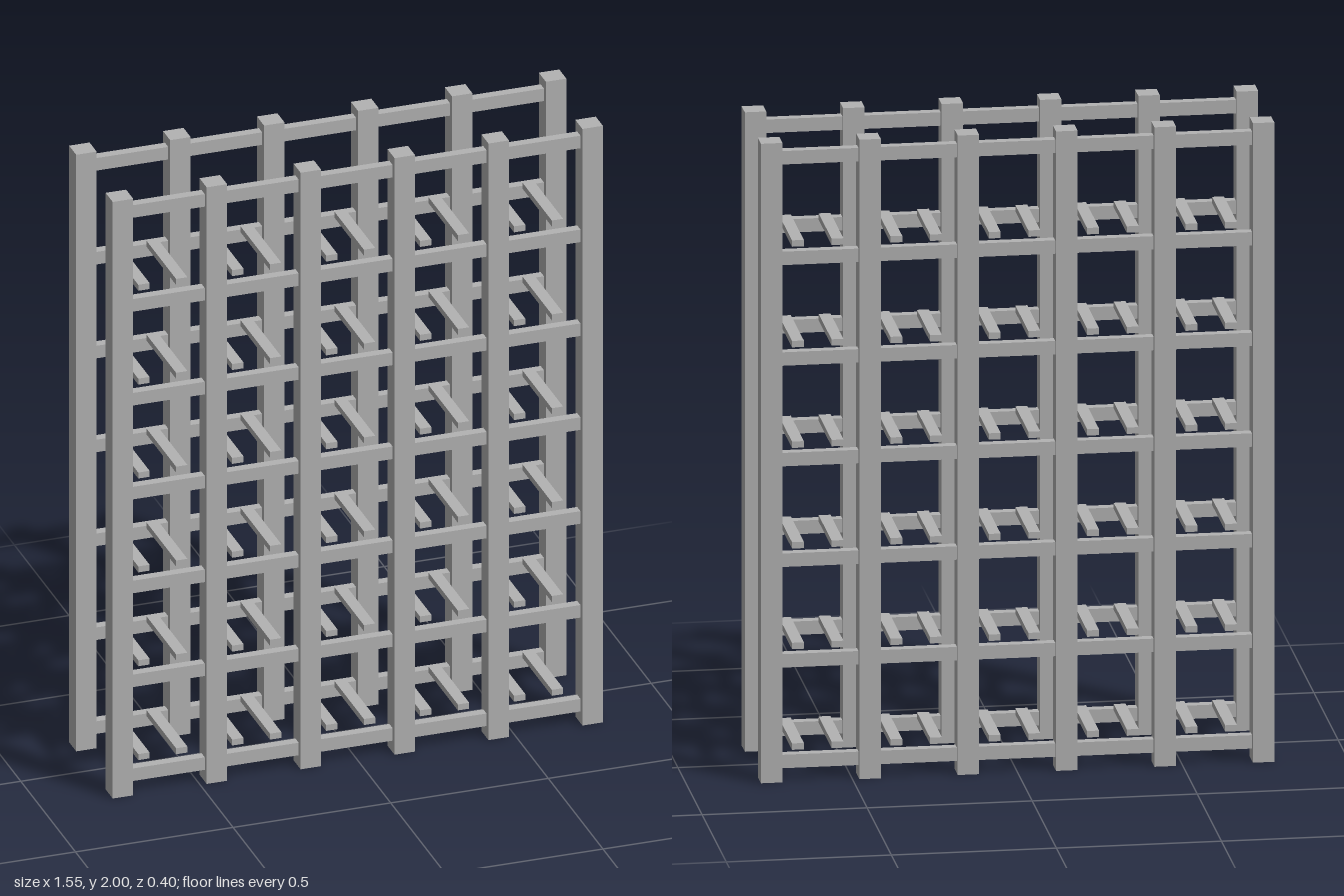
import * as THREE from 'three';

export function createModel() {
  const rack = new THREE.Group();
  rack.name = 'bottleRack';
  const grey = new THREE.MeshStandardMaterial({ color: 0xb2b2b2 });
  grey.name = 'grey';

  const POST = 0.065, BAY = 0.298, BAYS = 5, ROWS = 7;
  const POST_Z = 0.167, RAIL_H = 0.042, SLAT_H = 0.02;
  const railY = (row) => 0.06 + row * 0.3147;
  const postX = (i) => (i - BAYS / 2) * BAY;

  const postGeo = new THREE.BoxGeometry(POST, 2, POST);
  const railGeo = new THREE.BoxGeometry(BAY - POST, RAIL_H, 0.03);
  const slatGeo = new THREE.BoxGeometry(0.036, SLAT_H, 2 * POST_Z - POST);

  function add(parent, name, geometry, x, y, z) {
    const mesh = new THREE.Mesh(geometry, grey);
    mesh.name = name;
    mesh.position.set(x, y, z);
    parent.add(mesh);
  }

  // Front and back frames: upright posts with rails between them
  for (const side of [1, -1]) {
    const frame = new THREE.Group();
    frame.name = side > 0 ? 'frontFrame' : 'backFrame';
    for (let i = 0; i <= BAYS; i++) add(frame, 'post', postGeo, postX(i), 1, side * POST_Z);
    for (let row = 0; row < ROWS; row++) {
      for (let i = 0; i < BAYS; i++) {
        add(frame, 'rail', railGeo, postX(i + 0.5), railY(row), side * POST_Z);
      }
    }
    rack.add(frame);
  }

  // Pairs of support slats in each bay, on every row but the top
  const shelves = new THREE.Group();
  shelves.name = 'supportSlats';
  for (let row = 0; row < ROWS - 1; row++) {
    const y = railY(row) + (RAIL_H + SLAT_H) / 2;
    for (let i = 0; i < BAYS; i++) {
      for (const dx of [-0.06, 0.06]) add(shelves, 'slat', slatGeo, postX(i + 0.5) + dx, y, 0);
    }
  }
  rack.add(shelves);
  return rack;
}
